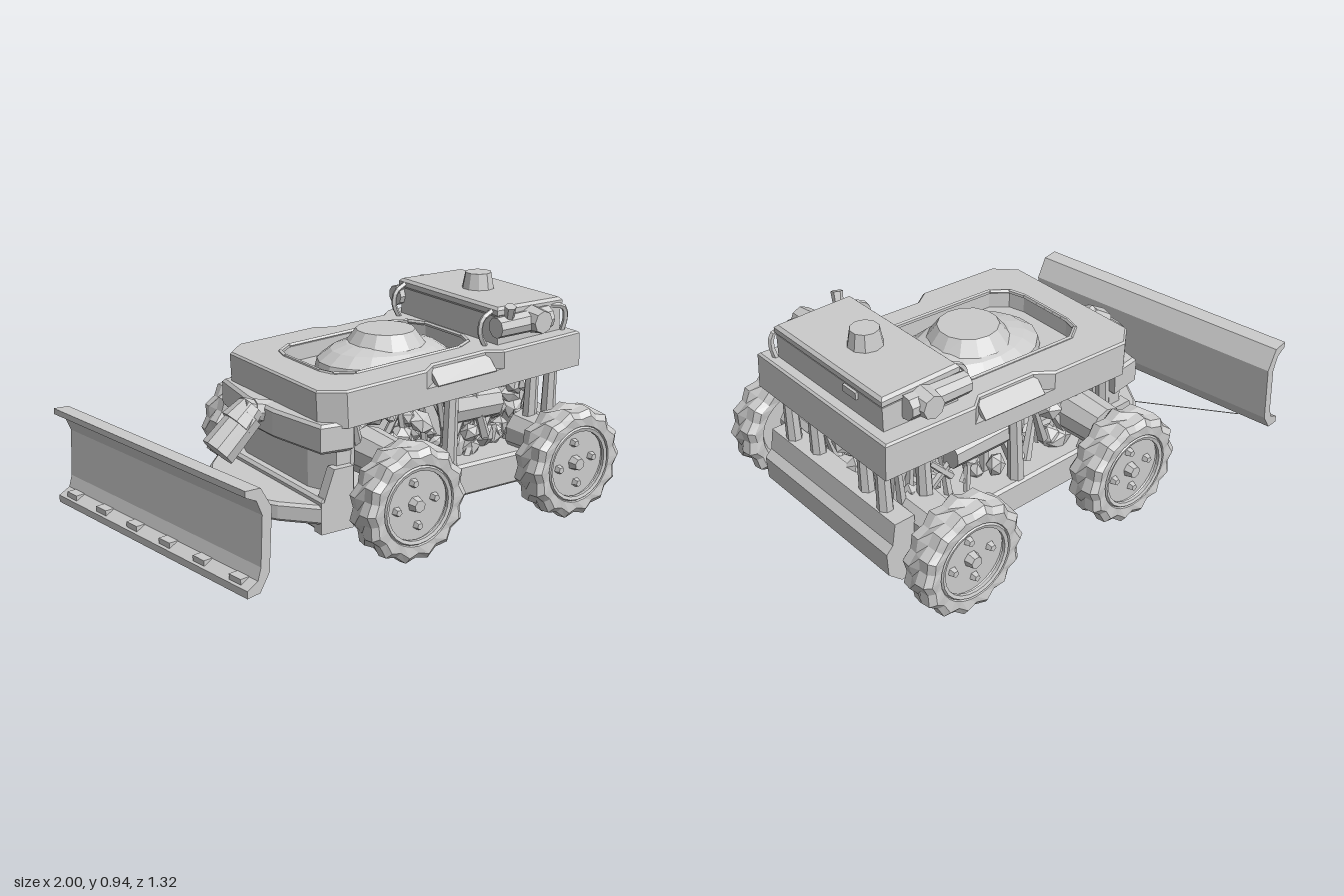
import * as THREE from 'three';

const mat = new THREE.MeshStandardMaterial({ color: 0xcccccc, flatShading: true, side: THREE.DoubleSide });

let seed = 7;
const rnd = (a, b) => {
  seed = (seed * 16807) % 2147483647;
  return a + (b - a) * (seed / 2147483647);
};

function add(parent, name, geo, x = 0, y = 0, z = 0) {
  const m = new THREE.Mesh(geo, mat);
  m.name = name;
  m.position.set(x, y, z);
  parent.add(m);
  return m;
}
const box = (w, h, d) => new THREE.BoxGeometry(w, h, d);
const cyl = (rt, rb, h, n = 10) => new THREE.CylinderGeometry(rt, rb, h, n);
const v2 = pts => pts.map(p => new THREE.Vector2(...p));
const mirrorZ = half => [...half, ...half.slice().reverse().map(([x, z]) => [x, -z])];

// Round bar between two points
function bar(parent, name, a, b, r0, r1 = r0, n = 8) {
  const p = new THREE.Vector3(...a), q = new THREE.Vector3(...b), d = q.clone().sub(p);
  const m = add(parent, name, cyl(r1, r0, d.length(), n));
  m.position.copy(p).addScaledVector(d, 0.5);
  m.quaternion.setFromUnitVectors(new THREE.Vector3(0, 1, 0), d.normalize());
  return m;
}

// Horizontal slab from half an outline [x, z], mirrored across z
function slab(half, h, bevel = 0.012, hole = null) {
  const s = new THREE.Shape(v2(mirrorZ(half)));
  if (hole) s.holes.push(new THREE.Path(v2(mirrorZ(hole))));
  const g = new THREE.ExtrudeGeometry(s, {
    depth: h - 2 * bevel, bevelEnabled: bevel > 0, bevelSize: bevel, bevelThickness: bevel, bevelOffset: -bevel, bevelSegments: 1
  });
  return g.translate(0, 0, bevel).rotateX(-Math.PI / 2);
}

// Side profile [x, y] extruded along z and centred on z = 0
function profileBar(pts, depth) {
  const g = new THREE.ExtrudeGeometry(new THREE.Shape(v2(pts)), { depth, bevelEnabled: false });
  return g.translate(0, 0, -depth / 2);
}

// Thin pipe through a few points
function pipe(parent, name, pts) {
  const curve = new THREE.CatmullRomCurve3(pts.map(p => new THREE.Vector3(...p)));
  add(parent, name, new THREE.TubeGeometry(curve, 8, 0.012, 5));
}

// Chunky tyre with alternating lugs, recessed rim, hub and bolts
function makeWheel() {
  const w = new THREE.Group();
  w.name = 'wheel';
  const prof = [[0.001, -0.05], [0.15, -0.05], [0.165, -0.075], [0.2, -0.078], [0.225, -0.06], [0.23, -0.02],
    [0.23, 0.02], [0.225, 0.06], [0.2, 0.078], [0.165, 0.075], [0.15, 0.045], [0.001, 0.045]];
  const g = new THREE.LatheGeometry(v2(prof), 28);
  const p = g.attributes.position;
  for (let i = 0; i < p.count; i++) {
    const x = p.getX(i), y = p.getY(i), z = p.getZ(i), r = Math.hypot(x, z);
    if (r < 0.19) continue;
    const k = Math.round(Math.atan2(z, x) / (Math.PI / 14)) + 28 + (y > 0 ? 1 : 0);
    const f = k % 2 ? 1.05 : 0.97;
    p.setXYZ(i, x * f, y * (k % 2 ? 1.04 : 0.95), z * f);
  }
  add(w, 'tyre', g.rotateX(Math.PI / 2));
  add(w, 'rimRing', new THREE.TorusGeometry(0.152, 0.012, 5, 24), 0, 0, 0.065);
  add(w, 'hub', cyl(0.025, 0.034, 0.04, 7).rotateX(Math.PI / 2), 0, 0, 0.06);
  for (let i = 0; i < 4; i++) {
    const a = 1.7 + i * Math.PI / 2;
    add(w, 'bolt', cyl(0.014, 0.022, 0.03, 5).rotateX(Math.PI / 2), 0.09 * Math.cos(a), 0.09 * Math.sin(a), 0.053);
  }
  return w;
}

export function createModel() {
  const model = new THREE.Group();
  model.name = 'roverPlough';

  // Lower chassis, stepped rear bumper and rounded nose plate
  add(model, 'chassis', slab([[-0.35, 0.4], [0.92, 0.4]], 0.14), 0, 0.105, 0);
  add(model, 'rearBumper', profileBar([[0.84, 0.105], [0.91, 0.085], [0.97, 0.14], [0.975, 0.24], [0.945, 0.27],
    [0.93, 0.36], [0.84, 0.36]], 0.81));
  add(model, 'nosePlate', slab([[-0.58, 0.05], [-0.54, 0.15], [-0.47, 0.27], [-0.35, 0.4], [-0.22, 0.4]], 0.08), 0, 0.14, 0);

  // Front cowl, upper bumper and corner fins
  add(model, 'frontCowl', slab([[-0.31, 0.24], [-0.26, 0.37], [-0.2, 0.37]], 0.32), 0, 0.2, 0);
  add(model, 'upperBumper', slab([[-0.385, 0.1], [-0.34, 0.38], [-0.2, 0.4]], 0.12), 0, 0.42, 0);
  for (const s of [-1, 1])
    add(model, 'cornerFin', profileBar([[-0.35, 0.1], [-0.2, 0.1], [-0.2, 0.36], [-0.29, 0.36], [-0.35, 0.2]], 0.05), 0, 0, s * 0.375);

  // Wheels and axle housings
  for (const x of [-0.07, 0.755]) for (const s of [-1, 1]) {
    const w = makeWheel();
    w.position.set(x, 0.244, s * 0.58);
    if (s < 0) w.rotation.y = Math.PI;
    model.add(w);
    const y = x < 0 ? 0.37 : 0.295;
    bar(model, 'axleHousing', [x, y, s * 0.3], [x, y, s * 0.49], 0.1, 0.09, 10);
    bar(model, 'axleStub', [x, 0.25, s * 0.38], [x, 0.25, s * 0.54], 0.06);
  }

  // Pillars between the chassis and the upper body
  for (const s of [-1, 1]) {
    for (const [x, z] of [[0.89, 0.3], [0.87, 0.16], [0.74, 0.35], [0.3, 0.36], [-0.2, 0.34]])
      bar(model, 'pillar', [x, 0.2, s * z], [x + 0.01, 0.6, s * z], 0.036, 0.028, 7);
    bar(model, 'sideTank', [0.34, 0.47, s * 0.29], [0.59, 0.46, s * 0.29], 0.08, 0.07, 9);
  }

  // Crowded machinery core: seeded lumps and struts
  const core = new THREE.Group();
  core.name = 'machinery';
  model.add(core);
  add(core, 'engineBlock', box(0.8, 0.3, 0.3), 0.27, 0.37, 0);
  bar(core, 'rearDrum', [0.78, 0.51, -0.09], [0.78, 0.51, 0.09], 0.055, 0.06, 8);
  for (let i = 0; i < 150; i++) {
    const m = add(core, 'engineLump', new THREE.IcosahedronGeometry(rnd(0.035, 0.07), 0),
      rnd(-0.18, 0.82), rnd(0.26, 0.54), rnd(-0.31, 0.31));
    m.rotation.set(rnd(0, 3), rnd(0, 3), rnd(0, 3));
    m.scale.set(rnd(0.6, 1.4), rnd(0.6, 1.1), rnd(0.6, 1.1));
  }
  for (let i = 0; i < 56; i++) {
    const x = rnd(-0.18, 0.82), z = (i % 2 ? 1 : -1) * rnd(0.15, 0.33);
    bar(core, 'strut', [x, rnd(0.22, 0.34), z], [x + rnd(-0.14, 0.14), rnd(0.44, 0.57), z + rnd(-0.05, 0.04)],
      rnd(0.012, 0.025), 0.014, 5);
  }

  // Upper body, tilted slightly up towards the rear, with a notch in each side
  const body = new THREE.Group();
  body.name = 'upperBody';
  body.position.set(0.318, 0.546, 0);
  body.rotation.z = 0.05;
  model.add(body);
  const pocket = [[-0.49, 0.13], [-0.47, 0.2], [-0.4, 0.25], [0.12, 0.25], [0.2, 0.21], [0.235, 0.13]];
  add(body, 'lowerShell', slab([[-0.64, 0.33], [-0.55, 0.41], [0.645, 0.41]], 0.075, 0));
  add(body, 'upperShell', slab([[-0.64, 0.33], [-0.55, 0.41], [-0.17, 0.41], [-0.1, 0.36], [0.17, 0.36],
    [0.23, 0.41], [0.645, 0.41]], 0.085, 0.008, pocket), 0, 0.067, 0);
  for (const s of [-1, 1]) {
    const panel = add(body, 'sidePanel', box(0.3, 0.02, 0.08), 0.035, 0.098, s * 0.38);
    panel.rotation.x = s * 0.8;
  }

  // Pocket rim, oval dome and its round cap
  const rim = mirrorZ(pocket).map(([x, z]) => [x, 0.15, z]);
  rim.forEach((p, i) => bar(body, 'pocketRim', p, rim[(i + 1) % rim.length], 0.01, 0.01, 5));
  const dome = [[0.31, 0], [0.3, 0.04], [0.24, 0.08], [0.17, 0.1], [0.001, 0.1]];
  add(model, 'dome', new THREE.LatheGeometry(v2(dome), 18), 0.225, 0.61, 0).scale.z = 0.76;
  add(model, 'domeCap', cyl(0.125, 0.17, 0.06, 14), 0.235, 0.73, 0);

  // Rear top box with lid, knob, side canisters and hoops
  const top = new THREE.Group();
  top.name = 'topBox';
  model.add(top);
  add(top, 'boxBody', slab([[0.565, 0.335], [0.907, 0.335]], 0.16), 0, 0.68, 0);
  add(top, 'boxLid', slab([[0.555, 0.34], [0.912, 0.34]], 0.045), 0, 0.825, 0);
  add(top, 'knob', cyl(0.058, 0.072, 0.075, 10), 0.73, 0.902, 0);
  for (const s of [-1, 1]) {
    bar(top, 'canister', [0.54, 0.79, s * 0.35], [0.82, 0.8, s * 0.35], 0.045, 0.05, 9);
    bar(top, 'canisterBracket', [0.74, 0.8, s * 0.3], [0.74, 0.8, s * 0.42], 0.065, 0.048, 8);
    pipe(top, 'hoop', [[0.56, 0.85, s * 0.3], [0.51, 0.82, s * 0.3], [0.5, 0.76, s * 0.3], [0.53, 0.7, s * 0.3]]);
  }
  pipe(top, 'sidePipe', [[0.85, 0.84, 0.33], [0.91, 0.83, 0.35], [0.925, 0.78, 0.35], [0.915, 0.72, 0.34]]);
  bar(top, 'fillerPost', [0.6, 0.82, 0.36], [0.59, 0.88, 0.38], 0.02, 0.025, 6);
  add(top, 'rearLatch', box(0.02, 0.03, 0.08), 0.908, 0.81, -0.15);

  // Headlamp on a bent arm
  bar(model, 'lampArm', [-0.32, 0.49, 0], [-0.42, 0.52, 0], 0.05, 0.045);
  bar(model, 'lampNeck', [-0.37, 0.5, 0], [-0.47, 0.535, 0], 0.04, 0.045);
  bar(model, 'lampCap', [-0.42, 0.535, 0], [-0.49, 0.47, 0], 0.055, 0.075, 9);
  bar(model, 'lampBarrel', [-0.44, 0.5, 0], [-0.58, 0.37, 0], 0.068, 0.075, 9);

  // Curved plough blade, set at a slant, with teeth along the lower lip
  const blade = new THREE.Group();
  blade.name = 'plough';
  blade.position.set(-0.845, 0, -0.01);
  blade.rotation.y = 0.143;
  model.add(blade);
  add(blade, 'bladePlate', profileBar([[-0.065, 0.46], [0.005, 0.455], [0.055, 0.37], [0.04, 0.12], [-0.005, 0.05],
    [-0.065, 0.045], [-0.065, 0.075], [-0.015, 0.1], [0, 0.15], [0.01, 0.35], [-0.015, 0.41], [-0.065, 0.435]], 1.27));
  for (let i = 0; i < 6; i++)
    add(blade, 'bladeTooth', box(0.04, 0.045, 0.07), -0.035, 0.08, -0.55 + i * 0.22);

  // Thin link between nose and blade
  bar(model, 'bladeLink', [-0.88, 0.08, -0.51], [-0.5, 0.155, -0.18], 0.002, 0.002, 4);

  return model;
}
